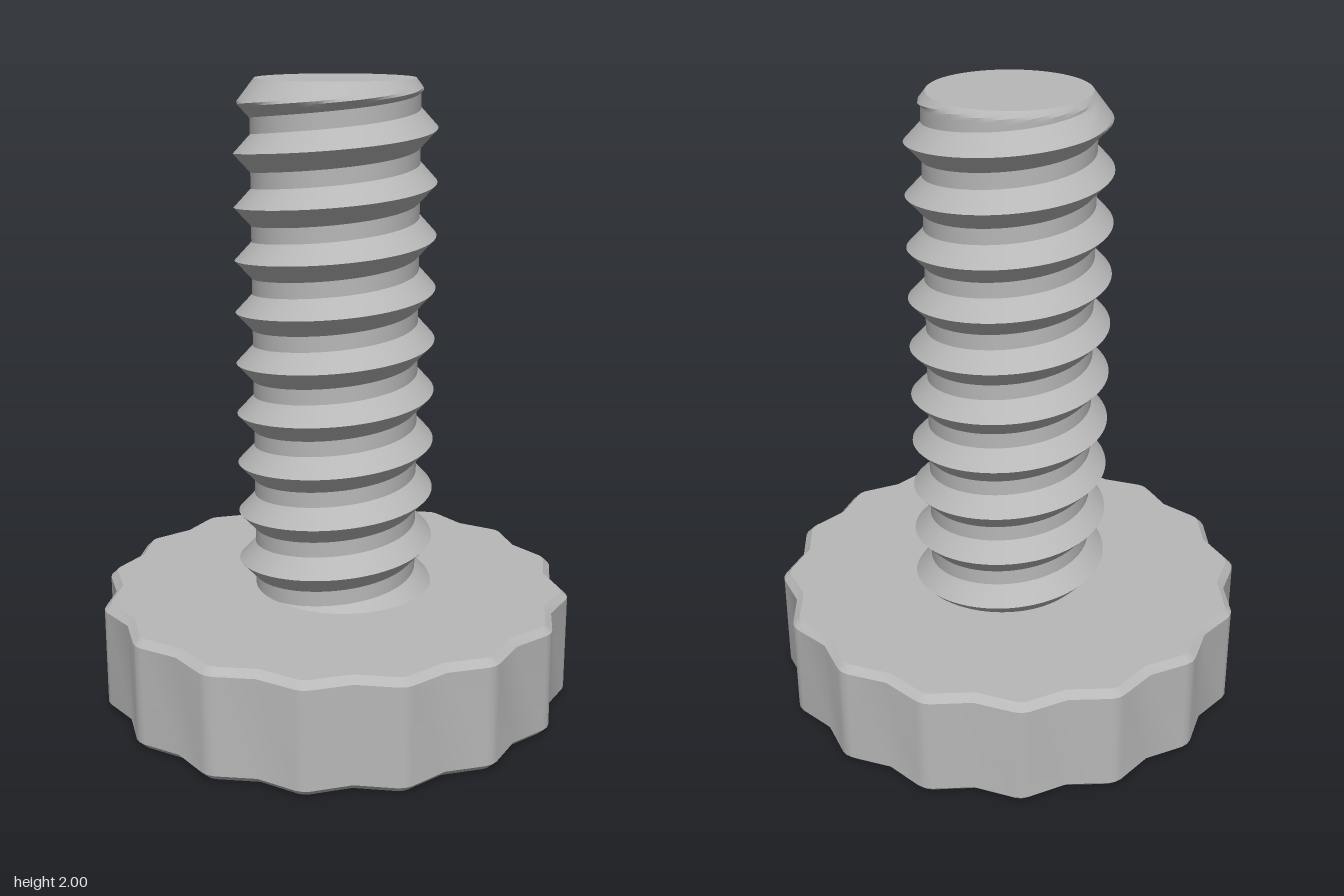
import * as THREE from 'three';
import { toCreasedNormals } from 'three/addons/utils/BufferGeometryUtils.js';

const HEAD_TOP = 0.365, TOP = 2, TIP_R = 0.247;
const ROOT = 0.262, CREST = 0.315, PITCH = 0.165, CREST_Y = 1.84;

// Scalloped, chamfered thumb-knob with 16 rounded teeth
function headGeometry() {
  const pts = [], teeth = 16;
  const polar = (deg, r) => {
    const a = THREE.MathUtils.degToRad(deg);
    pts.push(new THREE.Vector2(r * Math.cos(a), r * Math.sin(a)));
  };
  for (let i = 0; i < teeth; i++) {
    const c = i * 360 / teeth;
    polar(c - 1.7, 0.761);
    polar(c, 0.765);
    polar(c + 1.7, 0.761);
    polar(c + 180 / teeth, 0.724);
  }
  const bevel = 0.022;
  const geo = new THREE.ExtrudeGeometry(new THREE.Shape(pts), {
    depth: HEAD_TOP - 2 * bevel, bevelEnabled: true, bevelSegments: 1,
    bevelThickness: bevel, bevelSize: bevel, bevelOffset: -bevel,
  });
  geo.rotateX(-Math.PI / 2).translate(0, bevel, 0);
  return toCreasedNormals(geo, 0.5);
}

// Right-hand thread: rows follow the helix and are trimmed at both ends
function threadGeometry() {
  const around = 72, sub = 20, first = -9 * sub, last = 2 * sub;
  const point = (i, j) => {
    const t = i / around, a = t * Math.PI * 2;
    const crestY = CREST_Y - PITCH * t;
    const y = THREE.MathUtils.clamp(crestY + PITCH * j / sub, HEAD_TOP - 0.005, TOP);
    // distance to the nearest crest, in pitches
    const u = (y - crestY) / PITCH, d = Math.abs(u - Math.round(u));
    const thread = CREST - (CREST - ROOT) * Math.min(1, d / 0.35);
    const r = Math.min(thread, TIP_R + (TOP - y) * 0.77);
    return new THREE.Vector3(r * Math.cos(a), y, r * Math.sin(a));
  };
  const pos = [], ab = new THREE.Vector3(), ac = new THREE.Vector3();
  const tri = (a, b, c) => {
    ab.subVectors(b, a);
    ac.subVectors(c, a);
    if (ab.cross(ac).length() < 1e-9) return;
    for (const p of [a, b, c]) pos.push(p.x, p.y, p.z);
  };
  for (let i = 0; i < around; i++) {
    for (let j = first; j < last; j++) {
      const a = point(i, j), b = point(i, j + 1);
      const c = point(i + 1, j), d = point(i + 1, j + 1);
      tri(a, b, c);
      tri(b, d, c);
    }
  }
  const geo = new THREE.BufferGeometry();
  geo.setAttribute('position', new THREE.Float32BufferAttribute(pos, 3));
  return toCreasedNormals(geo, 0.5);
}

export function createModel() {
  const steel = new THREE.MeshStandardMaterial({ color: 0xb8b8b8 });
  steel.name = 'steel grey';
  const group = new THREE.Group();
  group.name = 'thumbScrew';
  const add = (name, geo) => {
    const mesh = new THREE.Mesh(geo, steel);
    mesh.name = name;
    group.add(mesh);
  };
  add('scallopedHead', headGeometry());
  add('threadedShank', threadGeometry());
  // Flat end of the shank
  add('shankTip', new THREE.CircleGeometry(TIP_R, 72).rotateX(-Math.PI / 2).translate(0, TOP, 0));
  return group;
}
